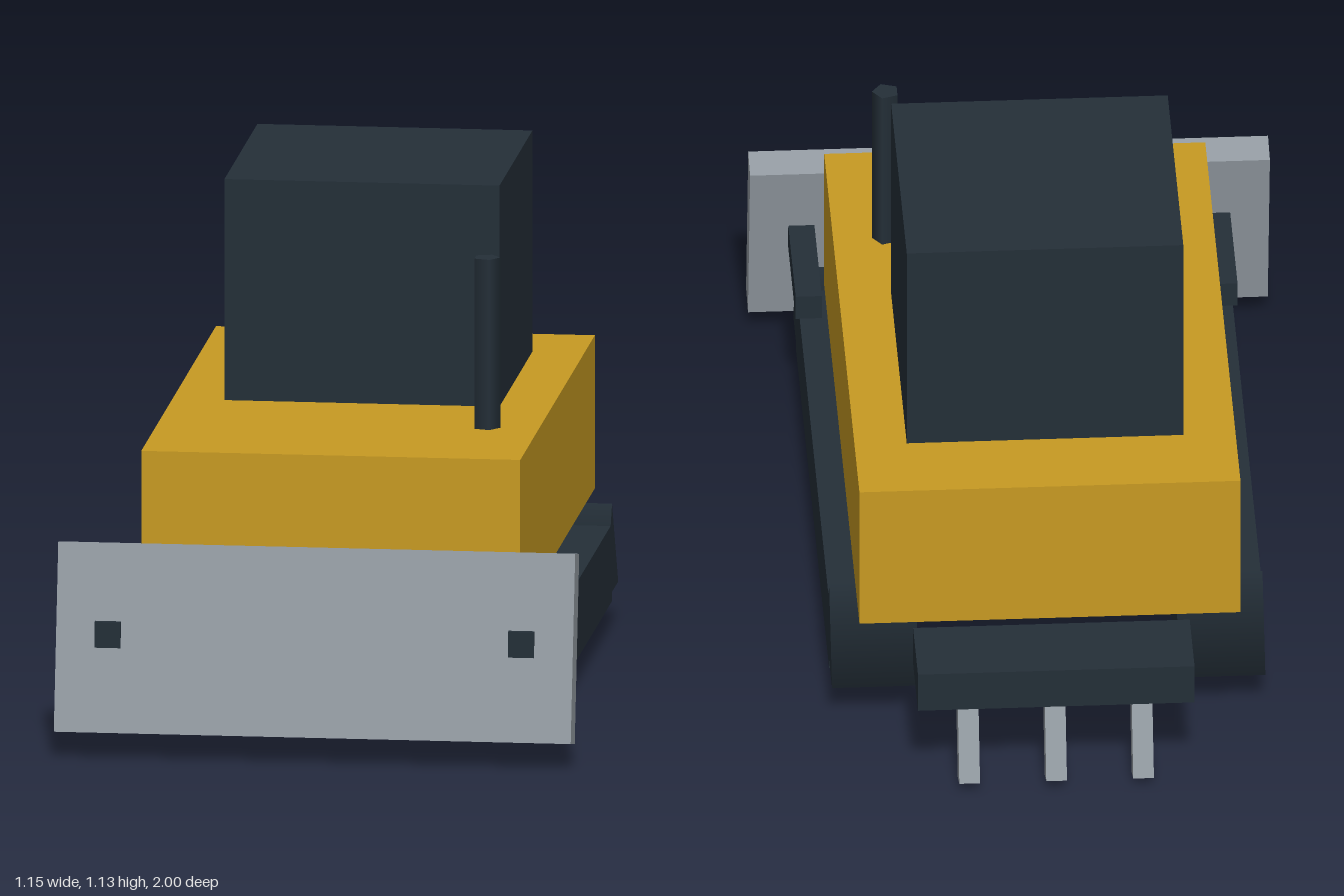
import * as THREE from 'three';

const mat = (name, color) => {
  const m = new THREE.MeshStandardMaterial({ color });
  m.name = name;
  return m;
};

export function createModel() {
  const model = new THREE.Group();
  model.name = 'bulldozer';
  const yellow = mat('body yellow', 0xc79a22);
  const dark = mat('dark steel', 0x242f38);
  const grey = mat('bare metal', 0x949ca3);

  const add = (name, geometry, material, x, y, z, tilt = 0) => {
    const mesh = new THREE.Mesh(geometry, material);
    mesh.name = name;
    mesh.position.set(x, y, z);
    mesh.rotation.x = tilt;
    model.add(mesh);
    return mesh;
  };
  const box = (name, material, [w, h, d], [x, y, z], tilt) =>
    add(name, new THREE.BoxGeometry(w, h, d), material, x, y, z, tilt);

  // Hull and cab
  box('body', yellow, [0.846, 0.346, 1.39], [0, 0.458, -0.04]);
  box('cab', dark, [0.614, 0.5, 0.615], [0, 0.881, -0.2325]);

  // Five-sided exhaust stack with a corner toward +x
  const stack = new THREE.CylinderGeometry(0.031, 0.031, 0.385, 5).rotateY(Math.PI / 2);
  add('exhaust', stack, dark, 0.306, 0.8235, 0.306);

  // Three-sided track ends, apex up
  const trackEnd = new THREE.CylinderGeometry(0.133, 0.133, 0.192, 3)
    .rotateZ(Math.PI / 2).rotateX(-Math.PI / 2);

  for (const [side, s] of [['left', 1], ['right', -1]]) {
    box(`${side}Track`, dark, [0.192, 0.175, 1.3], [s * 0.385, 0.152, 0.08]);
    add(`${side}TrackFrontEnd`, trackEnd, dark, s * 0.385, 0.152, 0.73);
    add(`${side}TrackRearEnd`, trackEnd, dark, s * 0.385, 0.152, -0.57);
    box(`${side}BladeArm`, dark, [0.058, 0.058, 0.385], [s * 0.4615, 0.276, 0.7725]);
  }

  // Blade, leaning back at the top
  box('blade', grey, [1.154, 0.422, 0.077], [0, 0.261, 0.92], -0.2);

  // Rear ripper
  box('ripperBeam', dark, [0.614, 0.095, 0.192], [0, 0.258, -0.887]);
  for (const x of [-0.193, 0, 0.193]) {
    box('ripperTooth', grey, [0.046, 0.25, 0.07], [x, 0.1295, -0.922], 0.35);
  }
  return model;
}
